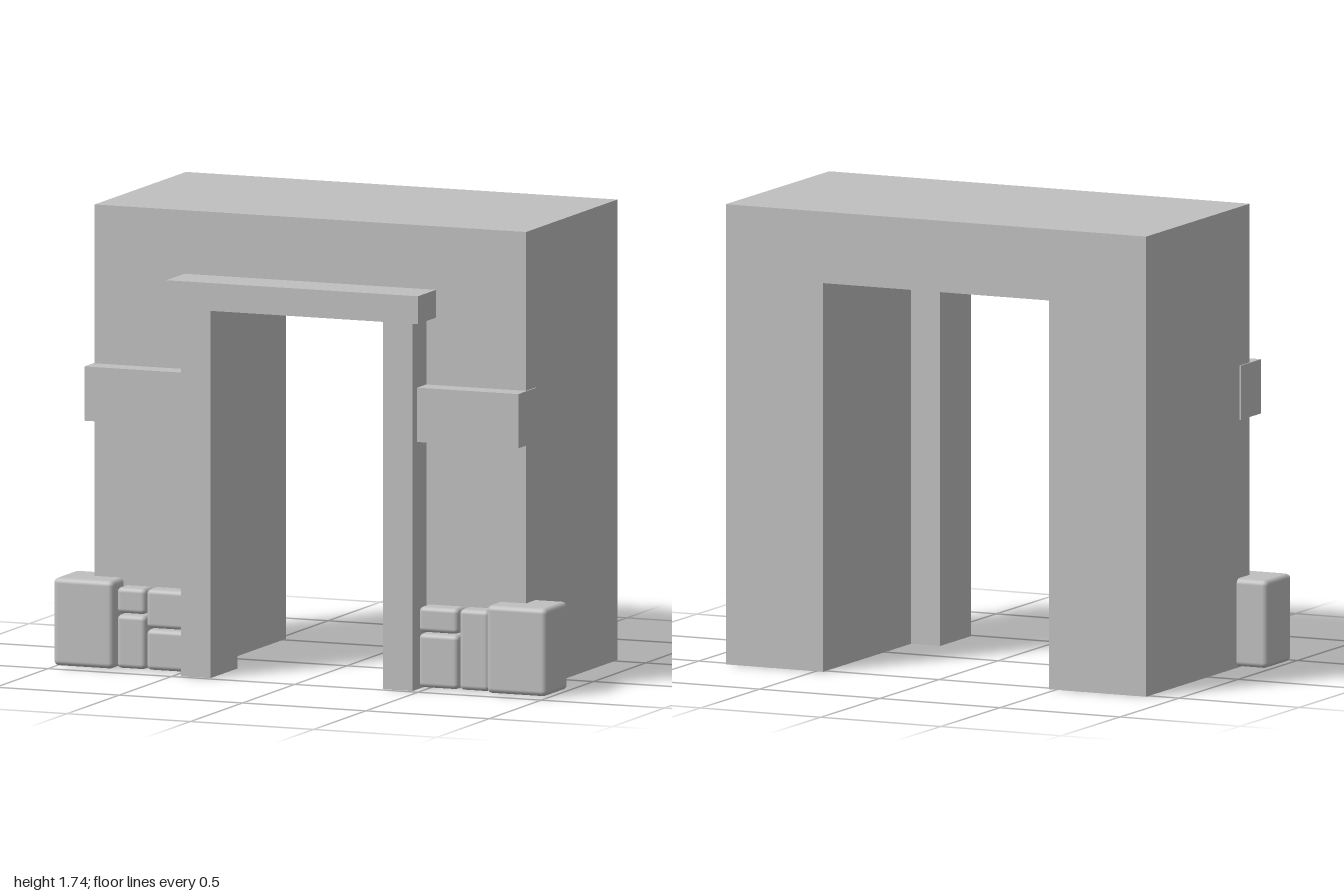
import * as THREE from 'three';
import { RoundedBoxGeometry } from 'three/addons/geometries/RoundedBoxGeometry.js';

export function createModel() {
  const model = new THREE.Group();
  model.name = 'gateway';
  const stone = new THREE.MeshStandardMaterial({ color: 0xbfbfbf });
  stone.name = 'grey stone';

  // Block given by its minimum and maximum on each axis; radius rounds the edges
  function block(name, [x0, x1], [y0, y1], [z0, z1], radius = 0) {
    const size = [x1 - x0, y1 - y0, z1 - z0];
    const geometry = radius
      ? new RoundedBoxGeometry(...size, 3, radius)
      : new THREE.BoxGeometry(...size);
    const mesh = new THREE.Mesh(geometry, stone);
    mesh.name = name;
    mesh.position.set((x0 + x1) / 2, (y0 + y1) / 2, (z0 + z1) / 2);
    model.add(mesh);
  }

  // Deep wall with a square passage through it
  const outline = [
    [-0.875, 0], [-0.47, 0], [-0.47, 1.47], [0.47, 1.47],
    [0.47, 0], [0.875, 0], [0.875, 1.74], [-0.875, 1.74],
  ];
  const wallShape = new THREE.Shape(outline.map(([x, y]) => new THREE.Vector2(x, y)));
  const wallGeometry = new THREE.ExtrudeGeometry(wallShape, { depth: 0.875, bevelEnabled: false });
  wallGeometry.translate(0, 0, -0.525);
  const wall = new THREE.Mesh(wallGeometry, stone);
  wall.name = 'wall';
  model.add(wall);

  // Door frame: lintel resting on two posts
  block('lintel', [-0.51, 0.51], [1.395, 1.5], [0.22, 0.525]);
  for (const [side, s] of [['left', 1], ['right', -1]]) {
    const span = (a, b) => (s > 0 ? [a, b] : [-b, -a]);
    block(`${side}Post`, span(0.35, 0.47), [0, 1.395], [0.22, 0.48]);
    // Horizontal band and corner stone on each leg
    block(`${side}Band`, span(0.465, 0.88), [0.935, 1.14], [0.265, 0.437]);
    block(`${side}CornerStone`, span(0.757, 1), [0.005, 0.337], [0.24, 0.455], 0.02);
  }

  // Small foundation stones: x range, y range
  const stones = [
    [[-0.757, -0.64], [0.213, 0.31]],
    [[-0.757, -0.64], [0.005, 0.207]],
    [[-0.637, -0.472], [0.163, 0.31]],
    [[-0.637, -0.472], [0.005, 0.158]],
    [[0.468, 0.628], [0.214, 0.31]],
    [[0.468, 0.628], [0.005, 0.209]],
    [[0.632, 0.753], [0.005, 0.31]],
  ];
  stones.forEach(([x, y], i) => block(`foundationStone${i + 1}`, x, y, [0.28, 0.42], 0.018));

  return model;
}
